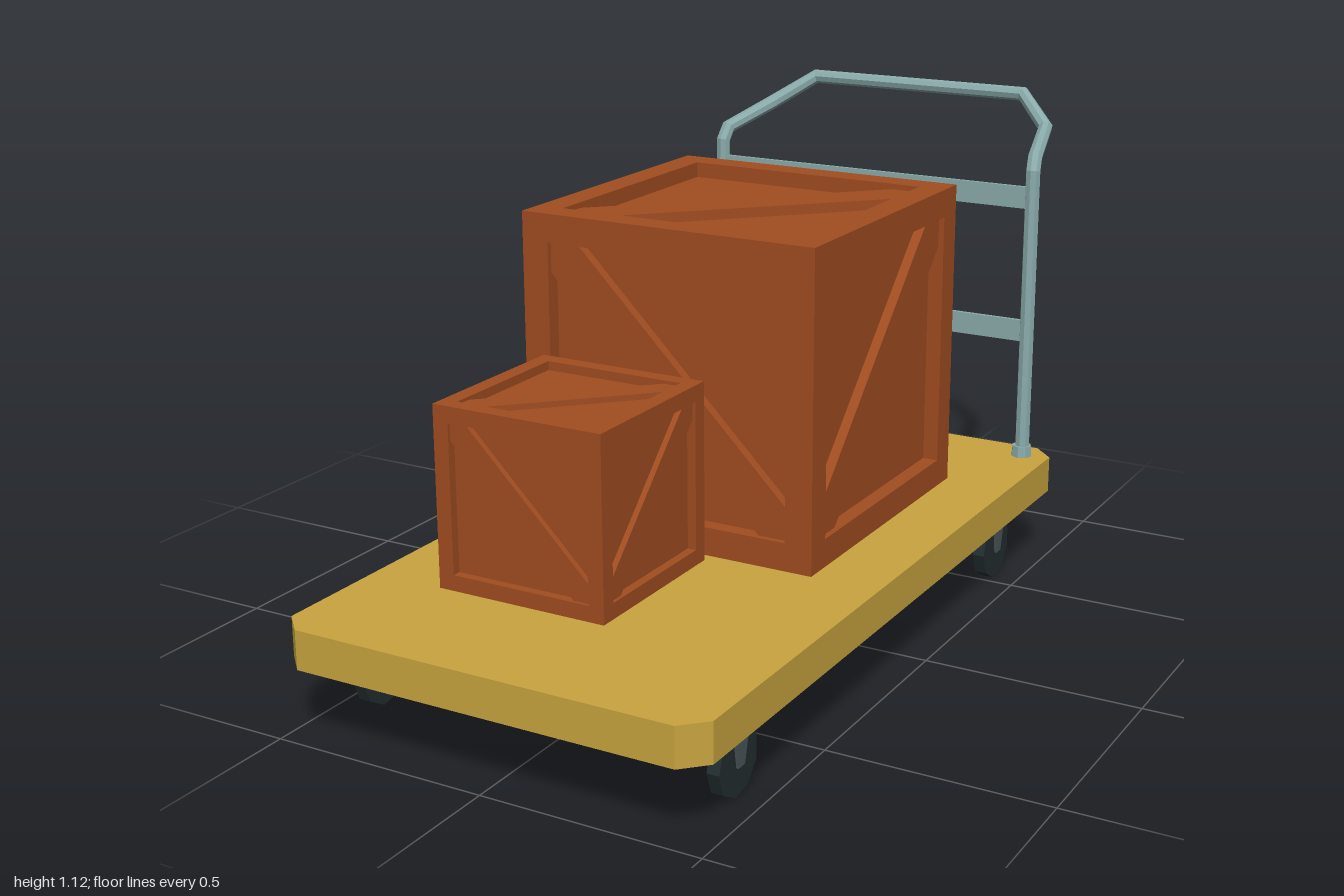
import * as THREE from 'three';
import { toCreasedNormals } from 'three/addons/utils/BufferGeometryUtils.js';

const mat = (name, color) => {
  const m = new THREE.MeshStandardMaterial({ color });
  m.name = name;
  return m;
};

// Curve that visits each corner point exactly, for tubes with crisp bends
class BentPath extends THREE.Curve {
  constructor(points) {
    super();
    this.points = points;
  }
  getPointAt(u) {
    return this.points[Math.round(u * (this.points.length - 1))].clone();
  }
  getTangentAt(u) {
    const p = this.points, i = Math.round(u * (p.length - 1));
    const t = new THREE.Vector3();
    if (i > 0) t.add(p[i].clone().sub(p[i - 1]).normalize());
    if (i < p.length - 1) t.add(p[i + 1].clone().sub(p[i]).normalize());
    return t.normalize();
  }
}

const extrude = (pts, depth) => new THREE.ExtrudeGeometry(
  new THREE.Shape(pts.map(([x, y]) => new THREE.Vector2(x, y))), { depth, bevelEnabled: false });

export function createModel() {
  const yellow = mat('deckYellow', 0xc9a43f);
  const orange = mat('crateOrange', 0xa14d21);
  const steel = mat('handleSteel', 0x8aabab);
  const grey = mat('casterGrey', 0x4b565a);
  const rubber = mat('wheelRubber', 0x222e30);

  const model = new THREE.Group();
  model.name = 'platformCart';
  const add = (parent, name, geo, material, x = 0, y = 0, z = 0) => {
    const mesh = new THREE.Mesh(toCreasedNormals(geo, 0.1), material);
    mesh.name = name;
    mesh.position.set(x, y, z);
    parent.add(mesh);
    return mesh;
  };

  // Deck with clipped corners
  const w = 0.495, l = 0.895, c = 0.052;
  const deck = extrude([[-w, -l + c], [-w + c, -l], [w - c, -l], [w, -l + c],
    [w, l - c], [w - c, l], [-w + c, l], [-w, l - c]], 0.088);
  deck.rotateX(-Math.PI / 2);
  add(model, 'deck', deck, yellow, 0, 0.167, 0.105);

  // Casters
  for (const side of [-1, 1]) {
    for (const end of [-1, 1]) {
      const caster = new THREE.Group();
      caster.name = 'caster';
      caster.position.set(side * 0.427, 0, end > 0 ? 0.755 : -0.54);
      model.add(caster);
      const wheel = new THREE.CylinderGeometry(0.077, 0.077, 0.028, 9);
      wheel.rotateZ(Math.PI / 2);
      add(caster, 'wheel', wheel, rubber, 0, 0.076, 0);
      add(caster, 'casterPlate', new THREE.BoxGeometry(0.044, 0.016, 0.104), grey, 0, 0.159, end * 0.012);
      for (const s of [-1, 1]) {
        const fork = extrude([[-0.013, 0.065], [0.013, 0.065], [0.035, 0.155], [-0.028, 0.155]], 0.005);
        fork.translate(0, 0, -0.0025);
        fork.rotateY(Math.PI / 2);
        add(caster, 'fork', fork, grey, s * 0.0185, 0, 0);
      }
    }
  }

  // Bent handle, mirrored left to right
  const half = [[0.428, 0.255, -0.722], [0.425, 0.97, -0.727], [0.421, 1.0, -0.745],
    [0.381, 1.043, -0.912], [0.29, 1.108, -0.986]];
  const path = [...half, ...half.map(([x, y, z]) => [-x, y, z]).reverse()]
    .map(p => new THREE.Vector3(...p));
  add(model, 'handle', new THREE.TubeGeometry(new BentPath(path), path.length - 1, 0.018, 8), steel);
  for (const side of [-1, 1]) {
    add(model, 'handleSocket', new THREE.CylinderGeometry(0.024, 0.026, 0.028, 8), steel,
      side * 0.427, 0.268, -0.722);
  }
  for (const y of [0.574, 0.905]) {
    add(model, 'crossbar', new THREE.BoxGeometry(0.83, 0.053, 0.01), steel, 0, y, -0.725);
  }

  // Crate: recessed core, edge beams and a diagonal brace on each face
  const f = 0.09, recess = 0.05, braceRecess = 0.018;
  const h = 0.5 - f, cut = 0.098, e = 0.5 - f / 2;
  const makeCrate = (name, size, x, y, z) => {
    const crate = new THREE.Group();
    crate.name = name;
    crate.scale.setScalar(size);
    crate.position.set(x, y, z);
    model.add(crate);
    const core = 1 - 2 * recess;
    add(crate, 'panels', new THREE.BoxGeometry(core, core, core), orange);
    for (const a of [-e, e]) {
      for (const b of [-e, e]) {
        add(crate, 'cornerPost', new THREE.BoxGeometry(f, 1, f), orange, a, 0, b);
        add(crate, 'railX', new THREE.BoxGeometry(2 * h, f, f), orange, 0, a, b);
        add(crate, 'railZ', new THREE.BoxGeometry(f, f, 2 * h), orange, a, b, 0);
      }
    }
    // Each face: rotation about x, rotation about y, lean of the brace
    const faces = [[0, 0, 1], [0, Math.PI, 1], [0, Math.PI / 2, -1], [0, -Math.PI / 2, -1],
      [-Math.PI / 2, 0, -1], [Math.PI / 2, 0, -1]];
    for (const [rx, ry, lean] of faces) {
      const brace = extrude([[-h, h], [-h, h - cut], [h - cut, -h], [h, -h], [h, -h + cut], [-h + cut, h]]
        .map(([px, py]) => [lean * px, py]), recess - braceRecess);
      brace.translate(0, 0, 0.5 - recess);
      add(crate, 'brace', brace, orange).rotation.set(rx, ry, 0);
    }
  };
  makeCrate('largeCrate', 0.72, -0.025, 0.615, -0.115);
  makeCrate('smallCrate', 0.408, -0.116, 0.458, 0.475);

  return model;
}
